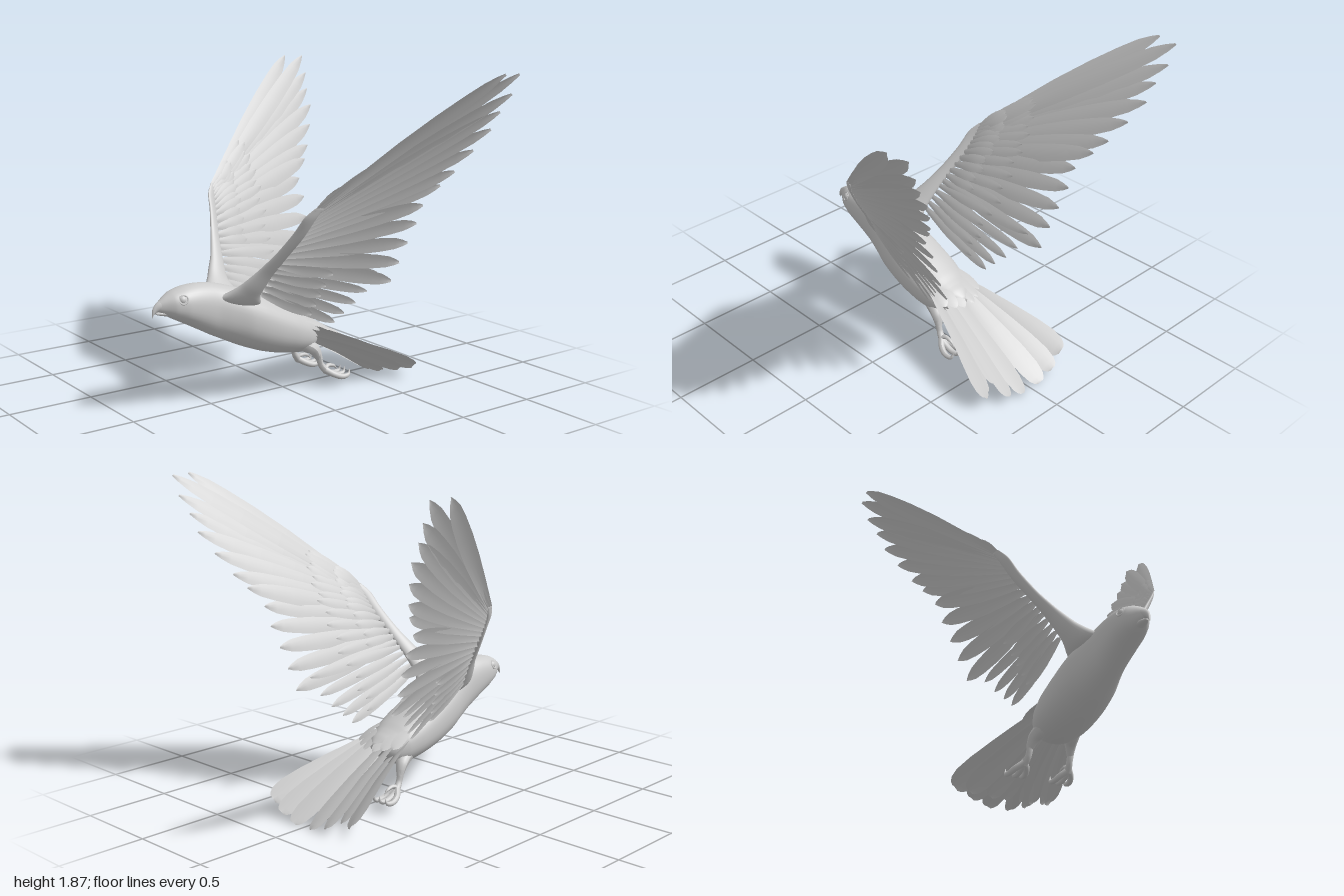
import * as THREE from 'three';

const V = (x, y, z) => new THREE.Vector3(x, y, z);
const solid = new THREE.MeshStandardMaterial({ color: 0xcccccc });
const thin = new THREE.MeshStandardMaterial({ color: 0xcccccc, side: THREE.DoubleSide });

function add(parent, name, geometry, material = solid) {
  const mesh = new THREE.Mesh(geometry, material);
  mesh.name = name;
  parent.add(mesh);
  return mesh;
}

function indexed(points, index) {
  const g = new THREE.BufferGeometry().setFromPoints(points);
  g.setIndex(index);
  g.computeVertexNormals();
  return g;
}

// Smooth closed skin over rounded rings; each row is [centre, u, v], with u x v along the path.
// A power below 1 makes the rings squarer.
function loft(rows, steps = 40, sides = 28, power = 1) {
  const curves = [0, 1, 2].map((k) => new THREE.CatmullRomCurve3(rows.map((r) => r[k])));
  const bend = (x) => Math.sign(x) * Math.abs(x) ** power;
  const points = [], index = [];
  for (let i = 0; i <= steps; i++) {
    const [c, u, v] = curves.map((q) => q.getPoint(i / steps));
    for (let j = 0; j < sides; j++) {
      const a = (j / sides) * Math.PI * 2;
      points.push(c.clone().addScaledVector(u, bend(Math.cos(a))).addScaledVector(v, bend(Math.sin(a))));
      if (i === steps) continue;
      const p = i * sides + j, q = i * sides + ((j + 1) % sides);
      index.push(p, q, p + sides, q, q + sides, p + sides);
    }
  }
  for (const end of [0, steps]) {
    const centre = points.length;
    points.push(curves[0].getPoint(end / steps));
    for (let j = 0; j < sides; j++) {
      const p = end * sides + j, q = end * sides + ((j + 1) % sides);
      index.push(...(end ? [centre, p, q] : [centre, q, p]));
    }
  }
  return indexed(points, index);
}

// Rows of [z, top, bottom, half width], running from front to back
const profile = (rows) => rows.map(([z, top, bottom, w]) =>
  [V(0, (top + bottom) / 2, z), V(w, 0, 0), V(0, (bottom - top) / 2, 0)]);

// Tube whose radius runs through a list of values
function taperTube(points, radii, segments = 20, sides = 10) {
  const curve = new THREE.CatmullRomCurve3(points);
  const g = new THREE.TubeGeometry(curve, segments, 1, sides);
  const pos = g.attributes.position, v = V(0, 0, 0);
  for (let i = 0; i <= segments; i++) {
    const c = curve.getPointAt(i / segments);
    const f = (i / segments) * (radii.length - 1), k = Math.min(Math.floor(f), radii.length - 2);
    const r = THREE.MathUtils.lerp(radii[k], radii[k + 1], f - k);
    for (let j = 0; j <= sides; j++) {
      const n = i * (sides + 1) + j;
      v.fromBufferAttribute(pos, n).sub(c).multiplyScalar(r).add(c);
      pos.setXYZ(n, v.x, v.y, v.z);
    }
  }
  g.computeVertexNormals();
  return g;
}

// Cambered vane between root and tip, lying across the given normal
const POINTED = [[0, 0.35], [0.2, 0.65], [0.45, 0.95], [0.65, 1], [0.8, 0.9], [0.9, 0.72], [0.96, 0.4], [1, 0.08]];
const BLUNT = [[0, 0.5], [0.2, 0.68], [0.45, 0.85], [0.7, 1], [0.86, 1], [0.95, 0.8], [0.985, 0.55], [1, 0.3]];
function feather(root, tip, half, normal, bow = 0.01, vane = POINTED) {
  const dir = tip.clone().sub(root);
  const side = dir.clone().cross(normal).normalize();
  const up = side.clone().cross(dir).normalize();
  const points = [], index = [];
  vane.forEach(([t, w], i) => {
    for (const s of [-1, -0.5, 0, 0.5, 1]) {
      points.push(root.clone().addScaledVector(dir, t).addScaledVector(side, s * w * half)
        .addScaledVector(up, bow * Math.sin(Math.PI * t) + 0.06 * half * (1 - s * s) + 0.08 * half * s));
    }
    if (i === 0) return;
    for (let j = 0; j < 4; j++) {
      const a = (i - 1) * 5 + j;
      index.push(a, a + 1, a + 5, a + 1, a + 6, a + 5);
    }
  });
  return indexed(points, index);
}

function wing() {
  const group = new THREE.Group();
  // The vanes turn slightly from the outer primaries to the tertials
  const normalAt = (t) => V(-0.835, 0.55, 0).lerp(V(-0.87, 0.42, -0.24), Math.min(1, t * 1.5)).normalize();

  // Arm: leading point, trailing point, half thickness
  const arm = [
    [V(0.02, 0.63, 0.52), V(0.02, 0.55, 0.2), 0.04],
    [V(0.09, 0.645, 0.475), V(0.09, 0.575, 0.22), 0.05],
    [V(0.165, 0.705, 0.405), V(0.165, 0.65, 0.27), 0.036],
    [V(0.245, 0.8, 0.335), V(0.25, 0.765, 0.25), 0.022],
    [V(0.335, 0.91, 0.275), V(0.345, 0.885, 0.215), 0.016],
    [V(0.42, 1.03, 0.225), V(0.435, 1.005, 0.17), 0.013],
    [V(0.475, 1.115, 0.2), V(0.495, 1.105, 0.14), 0.01],
    [V(0.515, 1.17, 0.155), V(0.525, 1.165, 0.11), 0.003],
  ];
  const under = V(0.88, -0.46, 0.1).normalize();
  add(group, 'wingArm', loft(arm.map(([lead, trail, h]) =>
    [lead.clone().lerp(trail, 0.5), lead.clone().sub(trail).multiplyScalar(0.5), under.clone().multiplyScalar(h)])));

  // Flight feathers: tips from the outermost primary to the innermost tertial
  const tips = [
    [0.995, 1.865, -0.74], [0.975, 1.86, -0.865], [0.93, 1.75, -0.86], [0.875, 1.65, -0.83], [0.82, 1.55, -0.82],
    [0.75, 1.43, -0.76], [0.68, 1.31, -0.69], [0.63, 1.23, -0.63], [0.58, 1.12, -0.55], [0.53, 1.01, -0.55],
    [0.48, 0.89, -0.53], [0.435, 0.77, -0.51], [0.38, 0.65, -0.5], [0.36, 0.71, -0.41], [0.33, 0.6, -0.36],
    [0.29, 0.53, -0.31], [0.26, 0.47, -0.25], [0.235, 0.42, -0.2],
  ].map((p) => V(...p));
  const roots = new THREE.CatmullRomCurve3([V(0.515, 1.155, 0.14), V(0.485, 1.09, 0.155), V(0.43, 1.0, 0.185),
    V(0.34, 0.88, 0.23), V(0.265, 0.775, 0.26), V(0.2, 0.65, 0.285)]);
  const tipLine = new THREE.CatmullRomCurve3(tips);
  const last = tips.length - 1;
  tips.forEach((tip, i) => {
    const name = i < 9 ? 'primaryFeather' : i < 13 ? 'secondaryFeather' : 'tertialFeather';
    const half = i < 9 ? 0.052 : i < 13 ? 0.05 : 0.033;
    const normal = normalAt(i / last);
    const root = roots.getPoint(i / last).addScaledVector(normal, -0.0015 * (i % 2));
    add(group, name, feather(root, tip, half, normal), thin);
  });

  // Coverts: a long and a short row on the upper side, and a few inner ones below
  const covert = (name, t, length, lift, half) => {
    const normal = normalAt(t), root = roots.getPoint(t);
    const dir = tipLine.getPoint(t).sub(root).normalize();
    const end = root.clone().addScaledVector(dir, length).addScaledVector(normal, lift);
    root.addScaledVector(normal, lift * 0.5);
    add(group, name, feather(root, end, half, normal, lift * 0.4), thin);
  };
  for (let i = 0; i <= last; i++) {
    const t = i / last;
    covert('upperCovert', t, 0.39 + 0.03 * (i % 2), 0.016, 0.03);
    if (t < 0.7) covert('shortCovert', t, 0.2 + 0.02 * (i % 2), 0.02, 0.028);
    if (t > 0.68) covert('underCovert', t, 0.36, -0.01, 0.032);
  }
  return group;
}

function tailHalf() {
  const group = new THREE.Group();
  // Root, tip, half width, inward roll; upper fan then under fan
  const fan = [
    [[0.03, 0.37, -0.16], [0.075, 0.012, -0.808], 0.064, -0.15],
    [[0.07, 0.365, -0.14], [0.185, 0.045, -0.8], 0.066, -0.3],
    [[0.11, 0.345, -0.11], [0.318, 0.075, -0.745], 0.076, -0.5],
    [[0.025, 0.3, -0.14], [0.06, 0.012, -0.62], 0.045, -0.2],
    [[0.055, 0.3, -0.13], [0.14, 0.02, -0.64], 0.054, -0.35],
    [[0.09, 0.31, -0.12], [0.25, 0.05, -0.69], 0.062, -0.45],
  ];
  fan.forEach(([root, tip, half, roll]) =>
    add(group, 'tailFeather', feather(V(...root), V(...tip), half, V(roll, 0.86, -0.5), 0.012, BLUNT), thin));
  // Short coverts flowing from the rump over the tail base
  for (const [x, y, z] of [[0.035, 0.325, -0.3], [0.085, 0.335, -0.28], [0.135, 0.345, -0.24]]) {
    add(group, 'tailCovert', feather(V(x * 0.75, 0.43, -0.06), V(x, y, z), 0.036, V(0.15, 0.86, 0.4), 0.01), thin);
  }
  return group;
}

function leg() {
  const group = new THREE.Group();
  add(group, 'thigh', taperTube([V(0.085, 0.32, -0.04), V(0.095, 0.27, -0.095), V(0.115, 0.235, -0.145), V(0.13, 0.17, -0.178)],
    [0.045, 0.046, 0.035, 0.018]));
  add(group, 'shank', taperTube([V(0.13, 0.21, -0.165), V(0.13, 0.14, -0.185), V(0.14, 0.095, -0.22)], [0.02, 0.018, 0.022]));
  // Forward toes curl under to a talon
  for (const x of [-0.045, 0, 0.05]) {
    add(group, 'toe', taperTube([V(0.14, 0.105, -0.21), V(0.14 + x * 0.7, 0.078, -0.25), V(0.14 + x, 0.06, -0.3),
      V(0.14 + x, 0.068, -0.345), V(0.14 + x * 0.9, 0.1, -0.355)], [0.02, 0.018, 0.017, 0.014, 0.001]));
  }
  add(group, 'hindToe', taperTube([V(0.14, 0.11, -0.205), V(0.13, 0.125, -0.235), V(0.13, 0.115, -0.28), V(0.13, 0.09, -0.305)],
    [0.016, 0.013, 0.01, 0.001]));
  return group;
}

export function createModel() {
  const bird = new THREE.Group();
  bird.name = 'bird';

  add(bird, 'body', loft(profile([
    [0.845, 0.64, 0.602, 0.012], [0.8, 0.672, 0.575, 0.042], [0.75, 0.698, 0.545, 0.076], [0.68, 0.716, 0.508, 0.096],
    [0.6, 0.722, 0.465, 0.1], [0.5, 0.712, 0.41, 0.104], [0.4, 0.685, 0.36, 0.126], [0.3, 0.65, 0.312, 0.154],
    [0.2, 0.605, 0.272, 0.166], [0.1, 0.555, 0.242, 0.17], [0, 0.505, 0.222, 0.168], [-0.1, 0.45, 0.212, 0.15],
    [-0.16, 0.415, 0.222, 0.12], [-0.21, 0.39, 0.27, 0.08], [-0.26, 0.355, 0.32, 0.02],
  ]), 70, 40, 0.9));

  // Hooked upper beak and short lower beak
  add(bird, 'upperBeak', loft(profile([[0.87, 0.585, 0.562, 0.002], [0.867, 0.61, 0.57, 0.007], [0.85, 0.637, 0.59, 0.014],
    [0.82, 0.658, 0.598, 0.028], [0.78, 0.675, 0.598, 0.038]]), 16, 16));
  add(bird, 'lowerBeak', loft(profile([[0.845, 0.59, 0.58, 0.008], [0.82, 0.596, 0.572, 0.022], [0.77, 0.6, 0.56, 0.035]]), 10, 16));

  for (const side of [1, -1]) {
    const half = new THREE.Group();
    half.name = side > 0 ? 'leftSide' : 'rightSide';
    half.scale.x = side;
    for (const [name, part] of [['wing', wing()], ['tail', tailHalf()], ['leg', leg()]]) {
      part.name = name;
      half.add(part);
    }
    const eye = add(half, 'eye', new THREE.SphereGeometry(0.026, 20, 14));
    eye.position.set(0.061, 0.657, 0.713);
    const rim = add(half, 'eyeRim', new THREE.TorusGeometry(0.025, 0.004, 8, 24));
    rim.position.set(0.077, 0.66, 0.715);
    rim.rotation.set(-0.4, 1.2, 0, 'YXZ');
    bird.add(half);
  }
  return bird;
}
